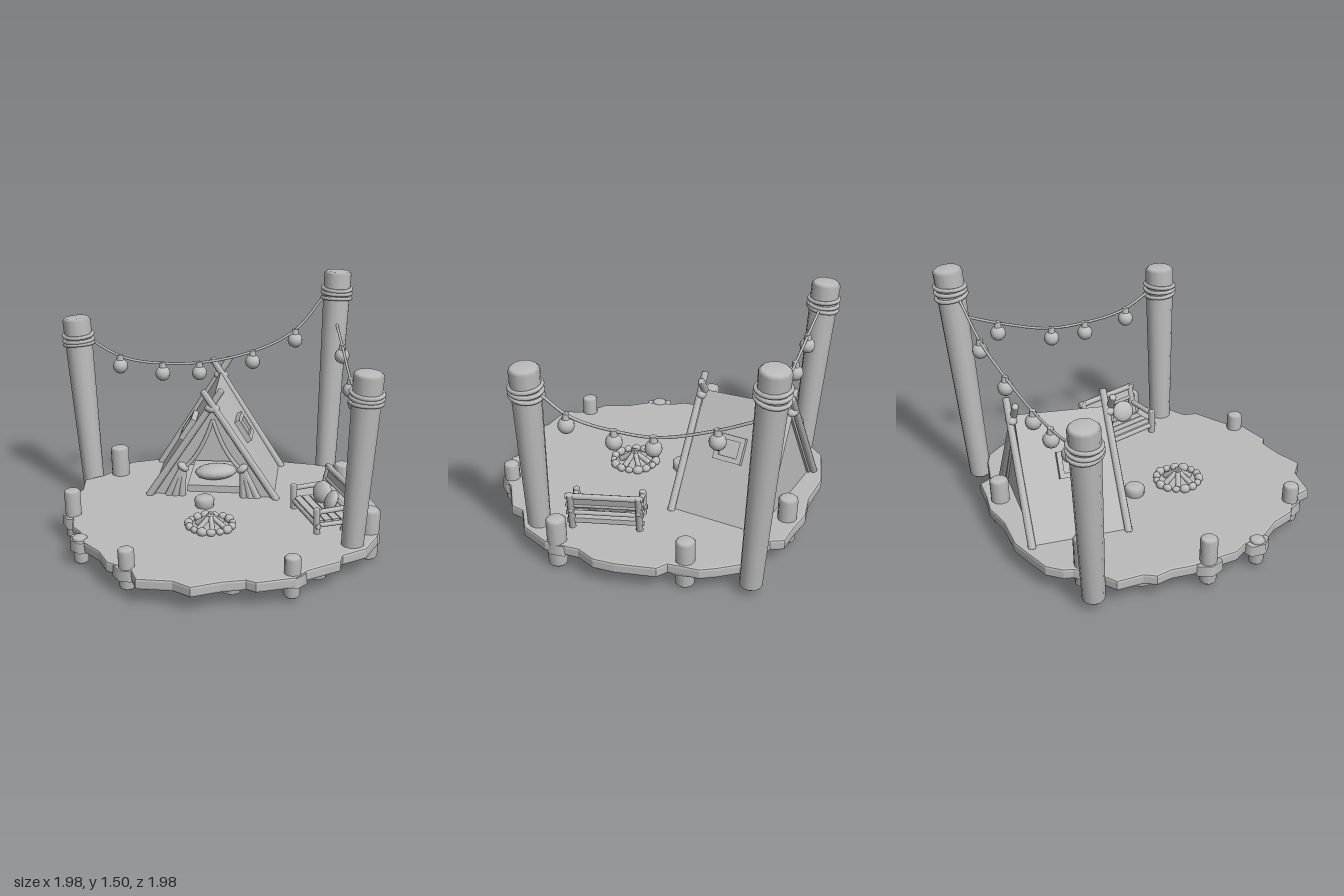
import * as THREE from 'three';

const clay = new THREE.MeshStandardMaterial({ color: 0xbcbcbc });
clay.name = 'clay grey';
clay.side = THREE.DoubleSide;

const V = (x, y, z) => new THREE.Vector3(x, y, z);
const UP = V(0, 1, 0);

function add(parent, name, geo, pos = [0, 0, 0], rot = [0, 0, 0], scale = [1, 1, 1]) {
  const m = new THREE.Mesh(geo, clay);
  m.name = name;
  m.position.set(...pos);
  m.rotation.set(...rot);
  m.scale.set(...scale);
  parent.add(m);
  return m;
}

// Round log between two points, with softened ends
function log(parent, name, a, b, r0, r1 = r0, sides = 10) {
  const p = V(...a), d = V(...b).sub(p), h = d.length(), e = Math.min(r0, r1) * 0.25;
  const profile = [[0, 0], [r0 - e, 0], [r0, e], [r1, h - e], [r1 - e, h], [0, h]];
  const geo = new THREE.LatheGeometry(profile.map(([x, y]) => new THREE.Vector2(x, y)), sides);
  const m = add(parent, name, geo, a);
  m.quaternion.setFromUnitVectors(UP, d.normalize());
  return m;
}

const ball = new THREE.SphereGeometry(1, 12, 8);
const shapeOf = pts => new THREE.Shape(pts.map(([x, y]) => new THREE.Vector2(x, y)));

function group(parent, name, pos = [0, 0, 0], turn = 0) {
  const g = new THREE.Group();
  g.name = name;
  g.position.set(...pos);
  g.rotation.y = turn;
  parent.add(g);
  return g;
}

// Ragged round platform
function buildDeck(root) {
  const rim = [[-.5, -.94], [-.33, -.97], [-.2, -.99], [.03, -.95], [.21, -.96], [.35, -.92], [.5, -.89], [.53, -.81],
    [.72, -.74], [.8, -.69], [.87, -.57], [.91, -.48], [.9, -.29], [.96, -.24], [.98, 0], [.97, .13], [.9, .24],
    [.88, .45], [.77, .62], [.61, .69], [.58, .77], [.37, .86], [.29, .94], [.06, .97], [.01, .93], [-.14, .94],
    [-.31, .98], [-.4, .89], [-.6, .84], [-.62, .71], [-.75, .6], [-.79, .45], [-.87, .32], [-.89, .16], [-.93, .08],
    [-.92, -.21], [-.89, -.34], [-.9, -.44], [-.85, -.5], [-.83, -.66], [-.71, -.72], [-.6, -.82], [-.58, -.87]];
  const geo = new THREE.ExtrudeGeometry(shapeOf(rim.map(([x, z]) => [x, -z])), {
    depth: .04, bevelEnabled: true, bevelSize: .012, bevelThickness: .015, bevelOffset: -.005, bevelSegments: 2 });
  add(root, 'deck', geo, [0, .125, 0], [-Math.PI / 2, 0, 0]);

  // Short posts held by a collar: x, z, bottom, top, radius
  const posts = [[-.92, -.11, .03, .34, .053], [-.89, .25, .02, .19, .048], [-.64, .67, .04, .29, .05],
    [.28, .88, .03, .285, .05], [.84, .39, .01, .33, .062], [.27, -.86, .02, .33, .06],
    [.84, -.38, .01, .32, .06], [-.59, -.74, .04, .37, .062]];
  for (const [x, z, y0, y1, r] of posts) {
    const g = group(root, 'rimPost');
    log(g, 'post', [x, y0, z], [x * 1.01, y1, z * 1.01], r * .95, r);
    add(g, 'collar', new THREE.CylinderGeometry(.08, .085, .065, 6), [x, .14, z], [0, Math.atan2(x, z), 0], [1.1, 1, .85]);
  }
  // Stub feet under the platform
  for (const [x, z] of [[-.52, .62], [-.06, .82], [.46, .7], [.6, -.65], [0, -.88], [-.4, -.8], [-.76, -.46], [.82, -.05]])
    add(root, 'foot', new THREE.CylinderGeometry(.07, .06, .06, 8), [x, .09, z]);
}

// Tall poles with rope bindings: foot, top, ring heights
function buildPoles(root) {
  const poles = [
    [[-.77, .06, -.78], [-.85, 1.245, -.86], [1.07, 1.095, 1.13]],
    [[.7, .1, .55], [.76, 1.25, .575], [1.07, 1.1, 1.13]],
    [[.81, .05, -.76], [.885, 1.5, -.86], [1.32, 1.355, 1.385]]];
  for (const [a, b, rings] of poles) {
    const g = group(root, 'tallPole');
    const pole = log(g, 'pole', a, b, .068, .092, 12);
    rings.forEach((y, i) => {
      const t = (y - a[1]) / (b[1] - a[1]);
      const p = V(...a).lerp(V(...b), t);
      const ring = add(g, 'ropeRing', new THREE.TorusGeometry(.095, .013, 6, 20), p.toArray());
      ring.quaternion.copy(pole.quaternion);
      ring.rotateX(Math.PI / 2 + (i - 1) * .08);
    });
  }
}

// Sagging cord with bulbs hanging at given fractions along it
function buildLights(root, path, bulbs) {
  const g = group(root, 'lightString');
  const curve = new THREE.CatmullRomCurve3(path.map(p => V(...p)));
  add(g, 'cord', new THREE.TubeGeometry(curve, 40, .009, 6));
  for (const t of bulbs) {
    const p = curve.getPointAt(t);
    add(g, 'socket', new THREE.CylinderGeometry(.02, .027, .05, 8), [p.x, p.y - .018, p.z]);
    add(g, 'bulb', ball, [p.x, p.y - .07, p.z], [0, 0, 0], [.05, .05, .05]);
  }
}

function buildTent(root) {
  const g = group(root, 'tent', [.035, 0, -.55], -.225);
  const W = .4, Y0 = .17, Y1 = .82, D = .28;
  const rise = z => (.03 - z * .06);
  // Ridge climbs slightly toward the back
  const tilt = geo => {
    const p = geo.attributes.position;
    for (let i = 0; i < p.count; i++)
      p.setY(i, p.getY(i) + (rise(p.getZ(i)) - .03) * (p.getY(i) - Y0) / (Y1 - Y0));
    geo.computeVertexNormals();
    return geo;
  };
  const roof = new THREE.ExtrudeGeometry(shapeOf([[-W, Y0], [0, Y1 + .01], [W, Y0], [W - .025, Y0], [0, Y1 - .03], [.025 - W, Y0]]),
    { depth: 2 * D, bevelEnabled: false });
  add(g, 'roof', tilt(roof.translate(0, 0, -D)));
  const back = new THREE.ExtrudeGeometry(shapeOf([[-W + .01, Y0], [W - .01, Y0], [0, Y1 - .02]]), { depth: .015, bevelEnabled: false });
  add(g, 'backWall', tilt(back.translate(0, 0, -D + .015)));

  // Crossed poles and front flaps on both sides
  for (const s of [-1, 1]) {
    for (const z of [-D - .015, D + .015]) {
      const top = Y1 + rise(z) - .03;
      log(g, 'tentPole', [s * (W + .015), Y0, z], [-s * .06, top + .1, z + s * .015], .024, .022, 8);
    }
    const flap = new THREE.Shape();
    flap.moveTo(0, Y1 - .02);
    flap.lineTo(s * (W - .01), Y0);
    flap.lineTo(s * .2, Y0);
    flap.quadraticCurveTo(s * .23, .3, s * .18, .37);
    flap.quadraticCurveTo(s * .06, .48, 0, .68);
    const geo = new THREE.ExtrudeGeometry(flap, { depth: .015, bevelEnabled: true, bevelSize: .006, bevelThickness: .006, bevelSegments: 1, curveSegments: 8 });
    add(g, 'frontFlap', geo, [0, 0, D - .03]);
    // Gathered folds above and below the tie
    for (const [x, r] of [[.2, .025], [.245, .028], [.29, .025]])
      log(g, 'flapFold', [s * .19, .38, D - .01], [s * x, Y0, D], .02, r, 8);
    const drape = new THREE.QuadraticBezierCurve3(V(0, .7, D - .01), V(s * .07, .47, D), V(s * .18, .37, D));
    add(g, 'flapEdge', new THREE.TubeGeometry(drape, 12, .014, 6));
    add(g, 'flapTie', ball, [s * .19, .375, D], [0, 0, s * .6], [.042, .025, .035]);

    // Roof window with a raised frame
    const w = group(g, 'roofWindow', [s * .172, .56, .02]);
    w.rotation.z = -s * Math.atan2(Y1 - Y0, W);
    add(w, 'pane', new THREE.BoxGeometry(.11, .008, .12), [0, .008, 0]);
    for (const k of [-1, 1]) {
      add(w, 'frameBar', new THREE.BoxGeometry(.03, .035, .18), [k * .065, .012, 0]);
      add(w, 'frameBar', new THREE.BoxGeometry(.1, .035, .03), [0, .012, k * .075]);
    }
  }
  for (const z of [-D, D]) add(g, 'lashing', ball, [0, Y1 - .02 + rise(z) - .03, z * 1.06], [0, 0, 0], [.05, .03, .035]);

  // Bedding
  add(g, 'mattress', new THREE.BoxGeometry(.34, .05, .44), [0, .2, 0]);
  add(g, 'pillow', ball, [0, .27, .08], [0, 0, .08], [.14, .05, .09]);
}

function buildCampfire(root) {
  const g = group(root, 'campfire', [-.1, .18, .195]);
  for (let i = 0; i < 15; i++) {
    const a = i / 15 * Math.PI * 2, r = .027 + .004 * (i % 3 - 1);
    add(g, 'fireStone', ball, [Math.cos(a) * .135, .018, Math.sin(a) * .135], [0, -a, 0], [r * .9, r * .9, r * 1.1]);
  }
  for (let i = 0; i < 6; i++) {
    const a = i / 6 * Math.PI * 2 + .5, c = Math.cos(a), s = Math.sin(a);
    log(g, 'firewood', [c * .095, .005, s * .095], [-c * .018, .085, -s * .018], .018, .016, 7);
  }
  log(root, 'stump', [-.1, .17, -.12], [-.1, .245, -.12], .06, .064, 12);
}

// Log bench, backrest on the outer side
function buildBench(root) {
  const g = group(root, 'bench', [.6, 0, .16], .17);
  const L = .2;
  for (const z of [-L, L]) {
    log(g, 'backPost', [.06, .17, z], [.125, .445, z], .022, .022, 8);
    log(g, 'frontLeg', [-.11, .17, z], [-.115, .34, z], .022, .022, 8);
    log(g, 'armRail', [-.13, .315, z], [.12, .325, z], .017, .017, 8);
    log(g, 'sideRail', [-.12, .23, z], [.09, .23, z], .015, .015, 8);
  }
  for (const [x, y, r] of [[.12, .43, .018], [.105, .36, .014], [.09, .3, .014], [-.11, .23, .018], [.07, .23, .015]])
    log(g, 'crossRail', [x, y, -L - .03], [x, y, L + .03], r, r, 8);
  for (let i = 0; i < 4; i++)
    add(g, 'seatSlat', new THREE.BoxGeometry(.045, .02, .4), [-.09 + i * .052, .248, 0]);
  add(g, 'backSlat', new THREE.BoxGeometry(.015, .075, .39), [.113, .395, 0], [0, 0, -.23]);
  for (const [z, t] of [[-.08, .25], [.07, -.15]])
    add(g, 'cushion', ball, [.03, .32, z], [t, t, -.5], [.035, .07, .075]);
}

export function createModel() {
  const root = new THREE.Group();
  root.name = 'campsite';
  buildDeck(root);
  buildPoles(root);
  buildLights(root, [[-.75, 1.09, -.84], [-.62, 1.01, -.81], [-.47, .955, -.79], [-.05, .93, -.77], [.33, 1, -.775], [.59, 1.12, -.8], [.8, 1.35, -.84]],
    [.12, .285, .425, .635, .82]);
  buildLights(root, [[.76, 1.09, .49], [.79, .985, .3], [.82, .95, 0], [.84, .965, -.23], [.86, 1.07, -.55], [.865, 1.17, -.78]],
    [.14, .36, .535, .82]);
  buildTent(root);
  buildCampfire(root);
  buildBench(root);
  return root;
}
